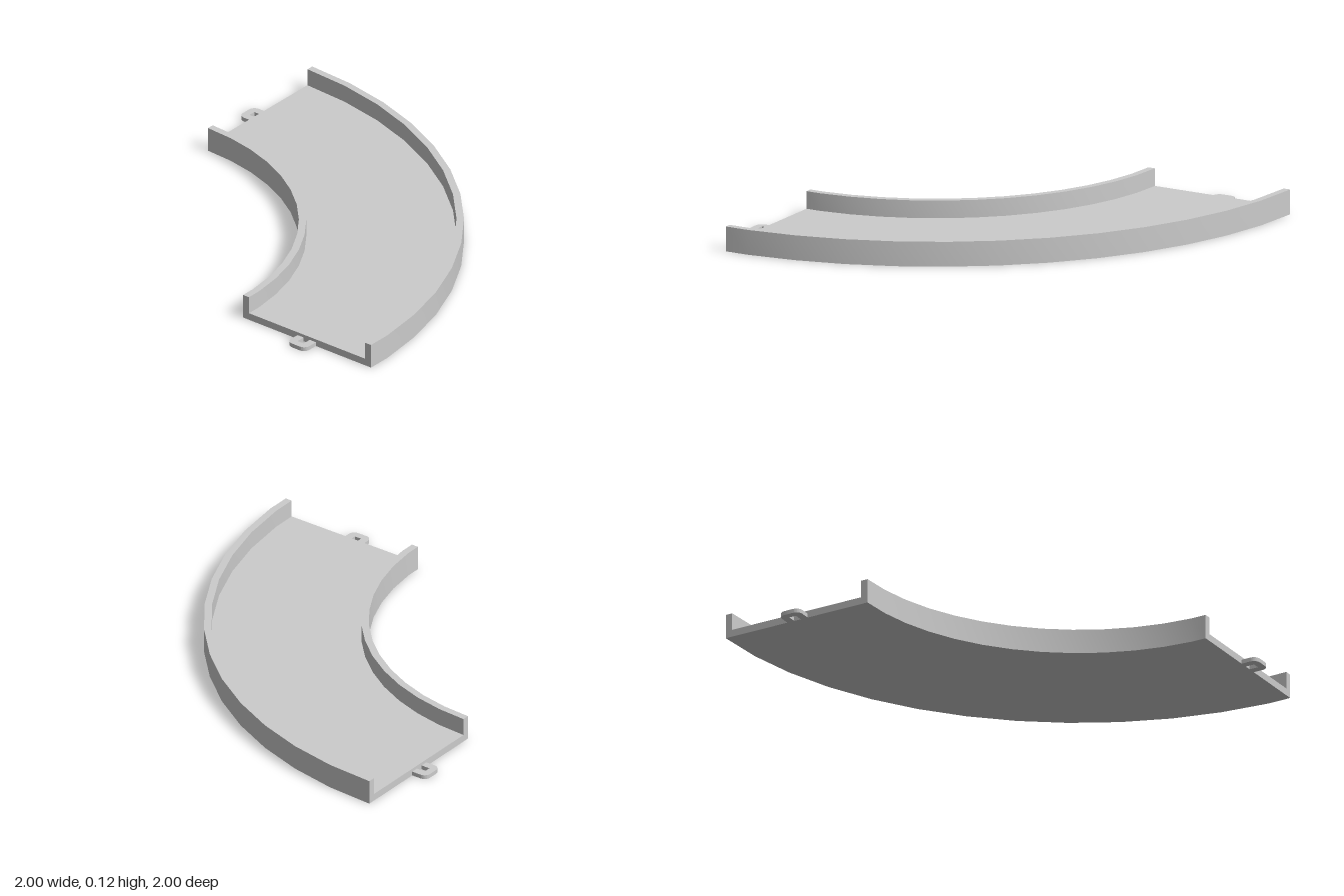
import * as THREE from 'three';
import { mergeGeometries, toCreasedNormals } from 'three/addons/utils/BufferGeometryUtils.js';

const CENTRE = -0.92;                   // bend centre in x and z
const INNER = 1.15, OUTER = 1.92;       // radii of the side walls
const WALL = 0.035, FLOOR = 0.035, HEIGHT = 0.12;
const STEP = Math.PI * 2 / 50;          // one facet of the curve

// U-shaped cross-section as [radius, height], counter-clockwise
const PROFILE = [
  [INNER, 0], [OUTER, 0], [OUTER, HEIGHT], [OUTER - WALL, HEIGHT],
  [OUTER - WALL, FLOOR], [INNER + WALL, FLOOR], [INNER + WALL, HEIGHT], [INNER, HEIGHT],
];

function endCap(scaleR, angle) {
  const pts = PROFILE.map(([r, y]) => new THREE.Vector2(r * scaleR, y));
  return new THREE.ShapeGeometry(new THREE.Shape(pts)).rotateY(angle);
}

// Channel swept through a quarter turn; the last facet is cut in half at x = 0
function channelGeometry() {
  const pts = [...PROFILE, PROFILE[0]].map(([r, y]) => new THREE.Vector2(r, y));
  const sweep = new THREE.LatheGeometry(pts, 13, -STEP / 2, STEP * 13);
  const pos = sweep.attributes.position;
  for (let i = 0; i < pos.count; i++) pos.setX(i, Math.max(0, pos.getX(i)));
  const caps = [endCap(-1, Math.PI), endCap(Math.cos(STEP / 2), -Math.PI / 2)];
  return toCreasedNormals(mergeGeometries([sweep, ...caps]), 0.6);
}

// Flat U-shaped connector loop, reaching 0.08 out from the end of the track
function loopGeometry() {
  const w = 0.055, d = 0.08, r = 0.032, hw = 0.018, hd = 0.045;
  const s = new THREE.Shape();
  s.moveTo(-w, 0);
  s.lineTo(-hw, 0);
  s.lineTo(-hw, hd);
  s.lineTo(hw, hd);
  s.lineTo(hw, 0);
  s.lineTo(w, 0);
  s.lineTo(w, d - r);
  s.absarc(w - r, d - r, r, 0, Math.PI / 2, false);
  s.absarc(r - w, d - r, r, Math.PI / 2, Math.PI, false);
  s.closePath();
  const g = new THREE.ExtrudeGeometry(s, { depth: 0.02, bevelEnabled: false, curveSegments: 6 });
  return toCreasedNormals(g.rotateX(-Math.PI / 2), 0.6);
}

export function createModel() {
  const model = new THREE.Group();
  model.name = 'curvedTrack';
  const material = new THREE.MeshStandardMaterial({ color: 0xcccccc });

  const channel = new THREE.Mesh(channelGeometry(), material);
  channel.name = 'curvedChannel';
  channel.position.set(CENTRE, 0, CENTRE);
  model.add(channel);

  // One connector loop at the middle of each end
  const mid = 0.61;
  const loopGeo = loopGeometry();
  for (const [name, x, z, turn] of [
    ['backConnectorLoop', mid, CENTRE, 0],
    ['sideConnectorLoop', CENTRE, mid, Math.PI / 2],
  ]) {
    const loop = new THREE.Mesh(loopGeo, material);
    loop.name = name;
    loop.position.set(x, 0, z);
    loop.rotation.y = turn;
    model.add(loop);
  }
  return model;
}
